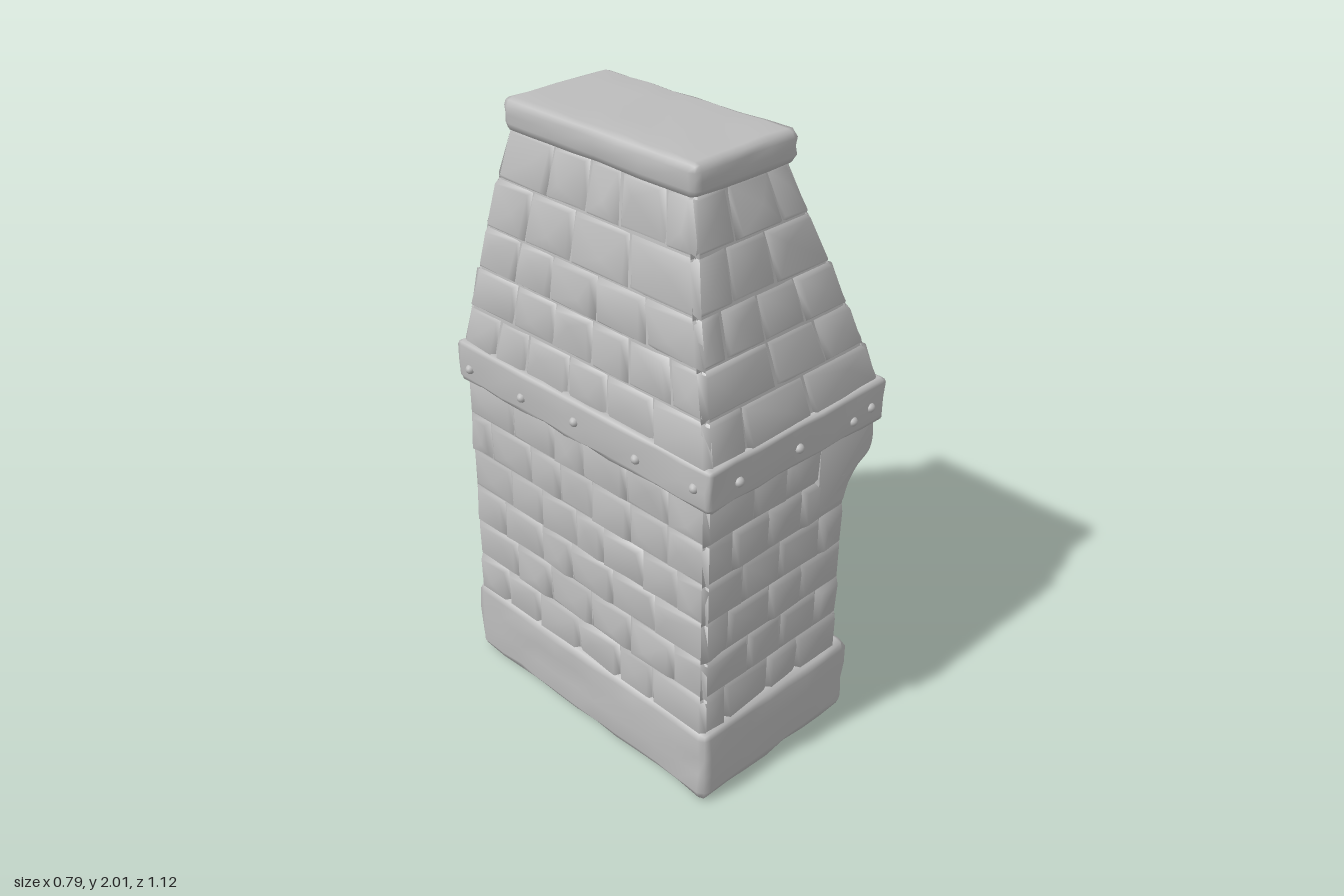
import * as THREE from 'three';
import { mergeGeometries, mergeVertices, toCreasedNormals } from 'three/addons/utils/BufferGeometryUtils.js';

const stone = new THREE.MeshStandardMaterial({ color: 0xbcbcbc });
stone.name = 'grey stone';

let seed = 7;
const rnd = () => (seed = (seed * 16807) % 2147483647) / 2147483647;
const jit = (a) => (rnd() * 2 - 1) * a;
const V = (x, y, z) => new THREE.Vector3(x, y, z);

function add(group, name, geometry) {
  const mesh = new THREE.Mesh(geometry, stone);
  mesh.name = name;
  group.add(mesh);
  return mesh;
}

// Box with worn, rounded edges and a slightly uneven surface, given by its limits
function wornBox(x0, x1, y0, y1, z0, z1, r, amp) {
  const size = [x1 - x0, y1 - y0, z1 - z0];
  const segs = size.map((s) => Math.max(4, Math.round(s / 0.1) + 2));
  let g = new THREE.BoxGeometry(...size, ...segs);
  g.deleteAttribute('uv');
  g.deleteAttribute('normal');
  g = mergeVertices(g, 1e-4);
  const p = g.attributes.position;
  for (let i = 0; i < p.count; i++) {
    const v = V().fromBufferAttribute(p, i);
    const core = V();
    'xyz'.split('').forEach((k, a) => {
      const h = size[a] / 2;
      const step = Math.round(((v[k] + h) / size[a]) * segs[a]);
      // The outer ring of segments forms the rounded edge
      core[k] = step === 0 ? r - h : step === segs[a] ? h - r
        : -h + r + ((step - 1) / (segs[a] - 2)) * (size[a] - 2 * r);
      v[k] = step === 0 ? -1 : step === segs[a] ? 1 : 0;
    });
    v.normalize().multiplyScalar(r + jit(amp));
    p.setXYZ(i, core.x + v.x, core.y + v.y, core.z + v.z);
  }
  g.translate((x0 + x1) / 2, (y0 + y1) / 2, (z0 + z1) / 2);
  g.computeVertexNormals();
  return g;
}

// Courses of chiselled stones over a four-cornered face (counter-clockwise from outside)
function masonry(a, b, c, d, rowHeight, stoneWidth, relief = 0.014) {
  const normal = V().crossVectors(b.clone().sub(a), d.clone().sub(a)).normalize();
  const at = (u, v, h) => a.clone().lerp(b, u).lerp(d.clone().lerp(c, u), v).addScaledVector(normal, h);
  const tall = a.clone().lerp(b, 0.5).distanceTo(d.clone().lerp(c, 0.5));
  const rows = Math.max(1, Math.round(tall / rowHeight));
  const stones = [];
  for (let r = 0; r < rows; r++) {
    const v0 = r / rows, v1 = (r + 1) / rows;
    const width = at(0, v0, 0).distanceTo(at(1, v0, 0));
    const n = Math.max(1, Math.round(width / stoneWidth + jit(0.5)));
    const cuts = [0];
    for (let i = 1; i < n; i++) cuts.push((i + (r % 2 ? 0.2 : -0.2) + jit(0.15)) / n);
    cuts.push(1);
    for (let i = 0; i < n; i++) {
      const u0 = cuts[i], u1 = cuts[i + 1];
      const du = 0.016 / width, dv = 0.014 / tall;
      const ring = (iu, iv, h) => [[u0 + iu, v0 + iv], [u1 - iu, v0 + iv], [u1 - iu, v1 - iv], [u0 + iu, v1 - iv]]
        .map(([u, v]) => at(u, v, h()));
      const pts = [
        ...ring(0, 0, () => -relief),
        ...ring(du, dv, () => jit(relief * 0.5)),
        at((u0 + u1) / 2 + jit(0.2) * (u1 - u0), (v0 + v1) / 2 + jit(0.2) * (v1 - v0), relief * (0.2 + jit(0.4))),
      ];
      const idx = [];
      for (let k = 0; k < 4; k++) {
        const m = (k + 1) % 4;
        idx.push(k, m, 4 + m, k, 4 + m, 4 + k, 4 + k, 4 + m, 8);
      }
      const g = new THREE.BufferGeometry().setFromPoints(pts);
      g.setIndex(idx);
      g.computeVertexNormals();
      stones.push(g);
    }
  }
  return mergeGeometries(stones);
}

// Solid block between a lower and an upper rectangle [x0, x1, halfDepth, y]
function taperedCore(lo, up) {
  const g = new THREE.BoxGeometry(1, 1, 1);
  const p = g.attributes.position;
  for (let i = 0; i < p.count; i++) {
    const q = p.getY(i) > 0 ? up : lo;
    p.setXYZ(i, p.getX(i) > 0 ? q[1] : q[0], q[3], Math.sign(p.getZ(i)) * q[2]);
  }
  g.computeVertexNormals();
  return g;
}

export function createModel() {
  const root = new THREE.Group();
  root.name = 'stoneFireplace';
  const Y0 = 0.25, Y1 = 1.08;
  const XB = -0.37, XI = -0.2, XF = 0.245, ZO = 0.53, ZI = 0.385;

  // Base slab and hearth floor
  add(root, 'baseSlab', wornBox(-0.38, 0.29, 0, 0.268, -0.548, 0.548, 0.03, 0.005));
  add(root, 'hearthFloor', masonry(V(XI, 0.275, ZI), V(0.26, 0.275, ZI), V(0.26, 0.275, -ZI), V(XI, 0.275, -ZI), 0.16, 0.2));

  // Back wall
  const wall = new THREE.Group();
  wall.name = 'backWall';
  root.add(wall);
  add(wall, 'backWallCore', taperedCore([XB + 0.013, XI - 0.013, ZO - 0.013, Y0], [XB + 0.013, XI - 0.013, ZO - 0.013, Y1]));
  add(wall, 'backWallOuterStones', masonry(V(XB, Y0, -ZO), V(XB, Y0, ZO), V(XB, Y1, ZO), V(XB, Y1, -ZO), 0.14, 0.17));
  add(wall, 'backWallInnerStones', masonry(V(XI, Y0, ZI), V(XI, Y0, -ZI), V(XI, Y1, -ZI), V(XI, Y1, ZI), 0.16, 0.17));

  // Side walls with corbels
  const corbelShape = new THREE.Shape();
  corbelShape.moveTo(0.12, 0.84);
  corbelShape.lineTo(0.225, 0.84);
  corbelShape.splineThru([[0.245, 0.89], [0.285, 0.935], [0.335, 0.965], [0.348, 1.01], [0.34, 1.07]].map((q) => new THREE.Vector2(...q)));
  corbelShape.lineTo(0.12, 1.07);
  for (const s of [1, -1]) {
    const side = new THREE.Group();
    side.name = s > 0 ? 'leftSideWall' : 'rightSideWall';
    root.add(side);
    const core = new THREE.BoxGeometry(XF - XI, Y1 - Y0, ZO - ZI - 0.026);
    core.translate((XF + XI) / 2 - 0.013, (Y0 + Y1) / 2, s * (ZO + ZI) / 2);
    add(side, 'sideWallCore', core);
    // Each face runs left to right as seen from its own outside
    const face = (x0, z0, x1, z1) => masonry(V(x0, Y0, z0), V(x1, Y0, z1), V(x1, Y1, z1), V(x0, Y1, z0), 0.14, 0.16);
    const [oA, oB] = s > 0 ? [XB, XF] : [XF, XB];
    const [iA, iB] = s > 0 ? [XF, XI] : [XI, XF];
    const [fA, fB] = s > 0 ? [ZO, ZI] : [-ZI, -ZO];
    add(side, 'outerStones', face(oA, s * ZO, oB, s * ZO));
    add(side, 'innerStones', face(iA, s * ZI, iB, s * ZI));
    add(side, 'frontStones', face(XF, fA, XF, fB));
    const corbel = new THREE.ExtrudeGeometry(corbelShape, {
      depth: 0.126, bevelThickness: 0.014, bevelSize: 0.012, bevelSegments: 2, curveSegments: 10,
    });
    corbel.translate(0, 0, s * (ZO + ZI) / 2 - 0.063);
    add(side, 'corbel', toCreasedNormals(corbel, 0.7));
  }

  // Mantel band with studs
  add(root, 'mantelBand', wornBox(-0.38, 0.383, 1.065, 1.205, -0.548, 0.548, 0.016, 0.004));
  const studs = new THREE.Group();
  studs.name = 'mantelStuds';
  root.add(studs);
  const studShape = new THREE.IcosahedronGeometry(0.016, 1);
  const stud = (x, z) => add(studs, 'stud', studShape).position.set(x, 1.125 + jit(0.012), z);
  for (const z of [-0.49, -0.24, 0, 0.26, 0.49]) {
    stud(0.381, z);
    stud(-0.378, z);
  }
  for (const x of [-0.26, -0.01, 0.23, 0.31]) {
    stud(x, 0.546);
    stud(x, -0.546);
  }

  // Tapering hood clad in stones
  const hood = new THREE.Group();
  hood.name = 'hood';
  root.add(hood);
  const levels = [[-0.372, 0.37, 0.54, 1.19], [-0.325, 0.218, 0.442, 1.6], [-0.273, 0.1, 0.372, 1.91]];
  for (let i = 0; i < 2; i++) {
    const lo = levels[i], up = levels[i + 1];
    const inset = ([x0, x1, z, y]) => [x0 + 0.013, x1 - 0.015, z - 0.013, y];
    add(hood, 'hoodCore', taperedCore(inset(lo), inset(up)));
    const corners = ([x0, x1, z, y]) => [V(x0, y, z), V(x1, y, z), V(x1, y, -z), V(x0, y, -z)];
    const L = corners(lo), U = corners(up);
    for (let k = 0; k < 4; k++) {
      const m = (k + 1) % 4;
      add(hood, 'hoodStones', masonry(L[k], L[m], U[m], U[k], 0.145, 0.19, 0.017));
    }
  }

  // Cap slab
  add(root, 'capSlab', wornBox(-0.279, 0.124, 1.9, 2, -0.384, 0.384, 0.025, 0.003));
  return root;
}
